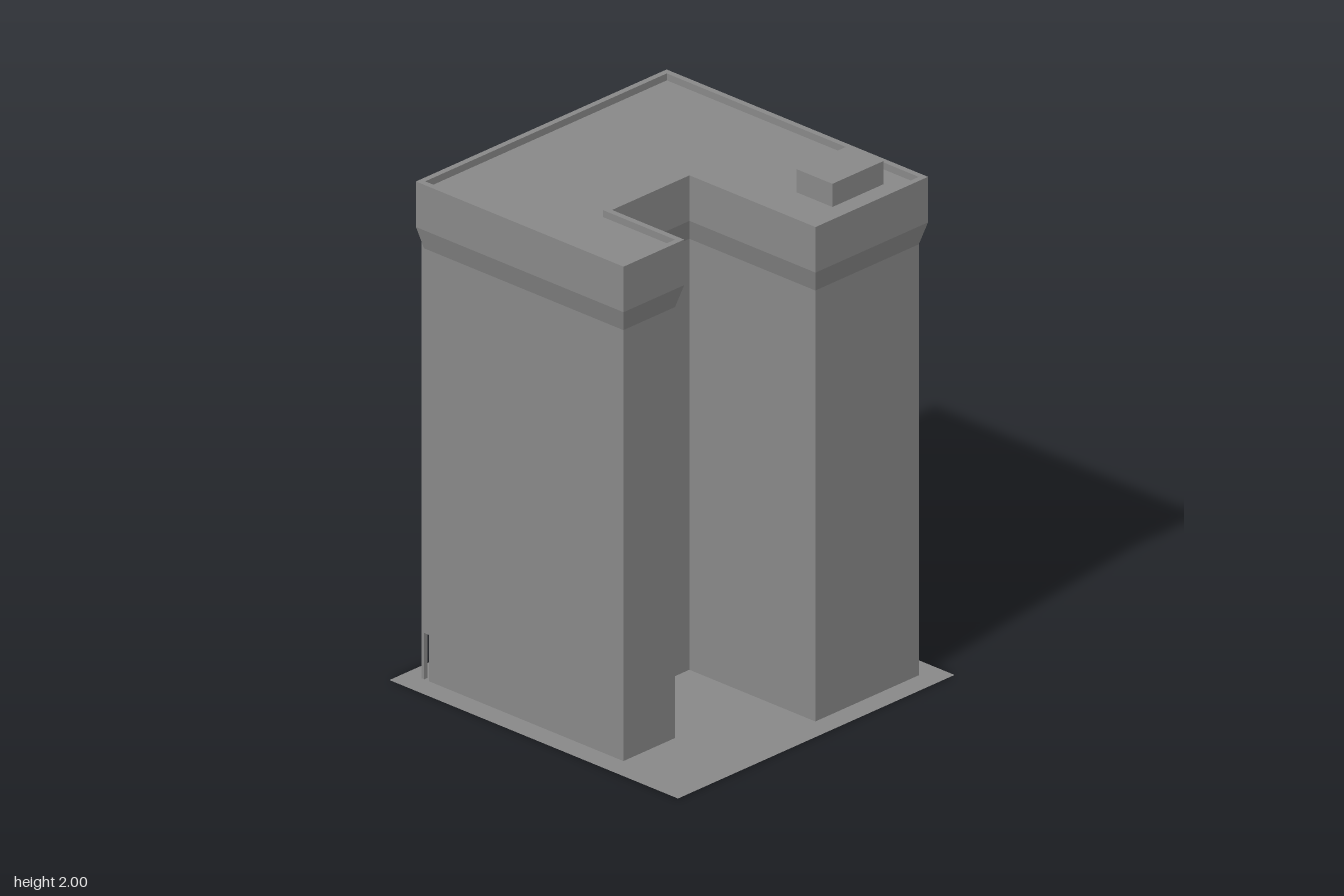
import * as THREE from 'three';

const COLOR = 0x888888;
const material = new THREE.MeshStandardMaterial({ color: COLOR, flatShading: true });
const thinMaterial = new THREE.MeshStandardMaterial({ color: COLOR, side: THREE.DoubleSide });

// C-shaped footprint: x, z, and the outward direction of each corner
const FOOTPRINT = [
  [-0.613, 0.613, -1, 1], [0.351, 0.613, 1, 1], [0.351, 0.351, 1, -1], [0, 0.351, 1, -1],
  [0, -0.088, 1, 1], [0.613, -0.088, 1, 1], [0.613, -0.613, 1, -1], [-0.613, -0.613, -1, -1],
];

// Wall sections from bottom to top: height, outward offset, x shift of the gridded facade
const SECTIONS = [
  [0, 0, 0.018], [0.18, 0, 0.018], [0.18, 0, -0.006], [1.675, 0, -0.006],
  [1.76, 0.023, 0], [1.937, 0.023, 0], [1.937, 0, 0], [1.91, 0, 0],
];

function add(parent, name, geometry, x = 0, y = 0, z = 0, mat = material) {
  const mesh = new THREE.Mesh(geometry, mat);
  mesh.name = name;
  mesh.position.set(x, y, z);
  parent.add(mesh);
  return mesh;
}

// Joins the wall sections into one faceted skin
function wallGeometry() {
  const rings = SECTIONS.map(([y, d, shift]) =>
    FOOTPRINT.map(([x, z, sx, sz]) => [x + sx * d + (sx < 0 ? shift : 0), y, z + sz * d]));
  const positions = [];
  const n = FOOTPRINT.length;
  for (let r = 0; r < rings.length - 1; r++) {
    for (let i = 0; i < n; i++) {
      const j = (i + 1) % n;
      const a = rings[r][i], b = rings[r][j], c = rings[r + 1][j], d = rings[r + 1][i];
      positions.push(...a, ...b, ...c, ...a, ...c, ...d);
    }
  }
  const geometry = new THREE.BufferGeometry();
  geometry.setAttribute('position', new THREE.Float32BufferAttribute(positions, 3));
  geometry.computeVertexNormals();
  return geometry;
}

export function createModel() {
  const model = new THREE.Group();
  model.name = 'towerBlock';

  // Ground sheet
  add(model, 'ground', new THREE.PlaneGeometry(1.404, 1.404).rotateX(-Math.PI / 2), 0, 0, 0, thinMaterial);

  // Walls with flared crown and parapet
  add(model, 'walls', wallGeometry());

  // Roof deck inside the parapet
  const deck = new THREE.Shape(FOOTPRINT.map(([x, z]) => new THREE.Vector2(x, -z)));
  add(model, 'roofDeck', new THREE.ShapeGeometry(deck).rotateX(-Math.PI / 2), 0, 1.91, 0);

  // Rooftop plant room
  add(model, 'plantRoom', new THREE.BoxGeometry(0.175, 0.09, 0.26), 0.438, 1.955, -0.396);

  // Gridded facade: floor bands between the end fins, and full-height fins
  const facade = new THREE.Group();
  facade.name = 'facadeGrid';
  model.add(facade);
  const floors = 16;
  const band = new THREE.BoxGeometry(0.012, 0.022, 1.2);
  for (let i = 0; i < floors; i++) {
    add(facade, 'floorBand', band, -0.619, 0.191 + (i * 1.49) / floors, 0);
  }
  const fin = new THREE.BoxGeometry(0.013, 1.71, 0.018);
  for (let i = 0; i < 7; i++) {
    add(facade, 'fin', fin, -0.6245, 0.855, -0.604 + (i * 1.208) / 6);
  }
  return model;
}
